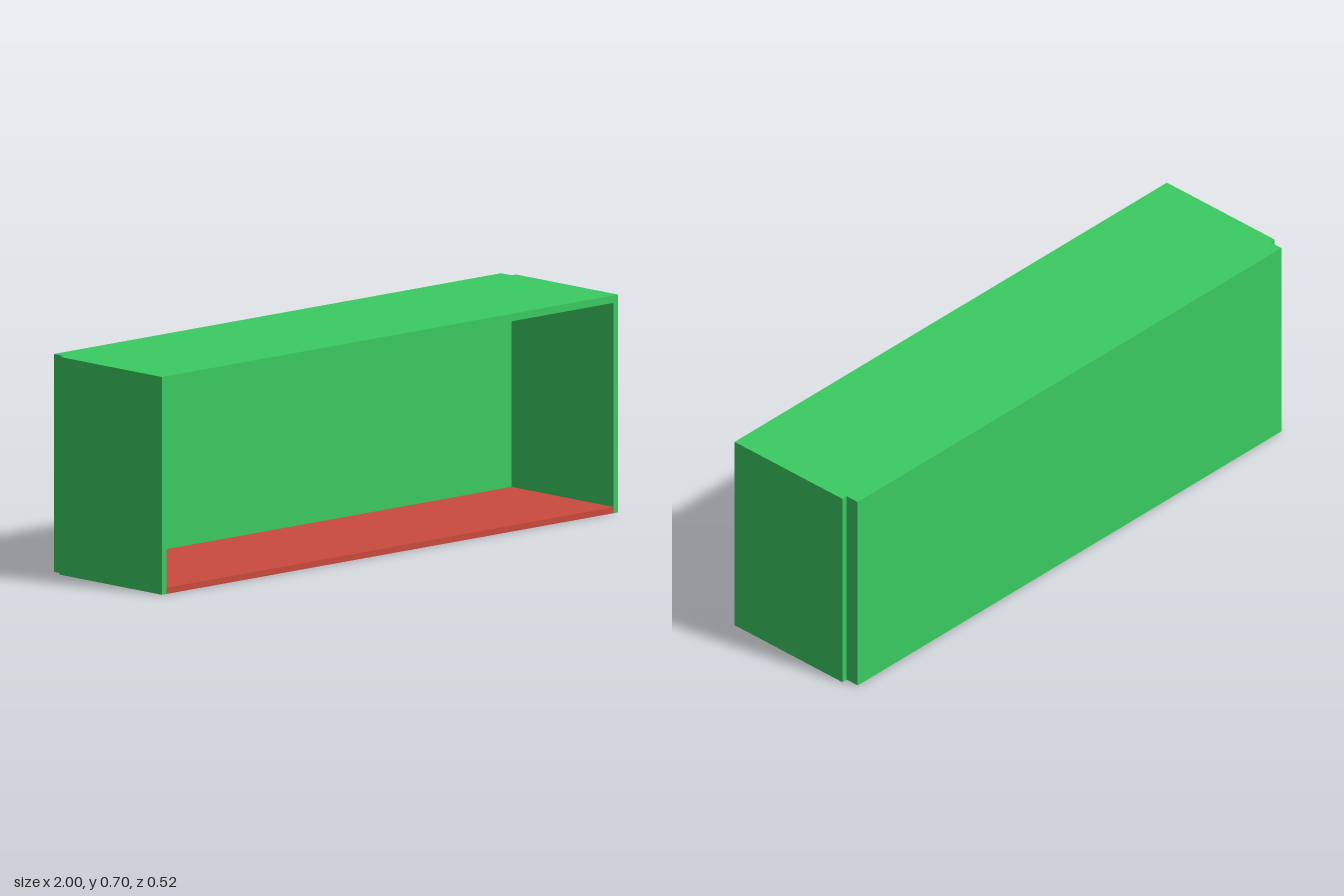
import * as THREE from 'three';

const W = 2, H = 0.702, T = 0.02;          // outer width, height, board thickness
const FRONT = 0.258, SEAT = -0.21, BACK = -0.258; // z of front edge, board ends, rear face

export function createModel() {
  const group = new THREE.Group();
  const green = new THREE.MeshStandardMaterial({ color: 0x3acb61 });
  const red = new THREE.MeshStandardMaterial({ color: 0xca4a3c });

  const add = (name, geometry, material) => {
    const mesh = new THREE.Mesh(geometry, material);
    mesh.name = name;
    group.add(mesh);
  };

  // Box given by its lower and upper corners
  const board = (x0, y0, z0, x1, y1, z1) =>
    new THREE.BoxGeometry(x1 - x0, y1 - y0, z1 - z0)
      .translate((x0 + x1) / 2, (y0 + y1) / 2, (z0 + z1) / 2);

  const inner = W / 2 - T;
  const topInner = H - 0.024;

  // Sides and top joined as one upside-down U
  const frame = new THREE.Shape([
    [-W / 2, 0], [-inner, 0], [-inner, topInner], [inner, topInner],
    [inner, 0], [W / 2, 0], [W / 2, H], [-W / 2, H],
  ].map(([x, y]) => new THREE.Vector2(x, y)));
  add('sidesAndTop', new THREE.ExtrudeGeometry(frame, { depth: FRONT - SEAT, bevelEnabled: false })
    .translate(0, 0, SEAT), green);

  // Thick rear panel, set in from the sides by one board thickness
  add('backPanel', board(-inner, 0, BACK, inner, H, SEAT), green);

  // Floor between the sides
  add('floor', board(-inner, 0, SEAT, inner, T, FRONT), red);

  return group;
}
